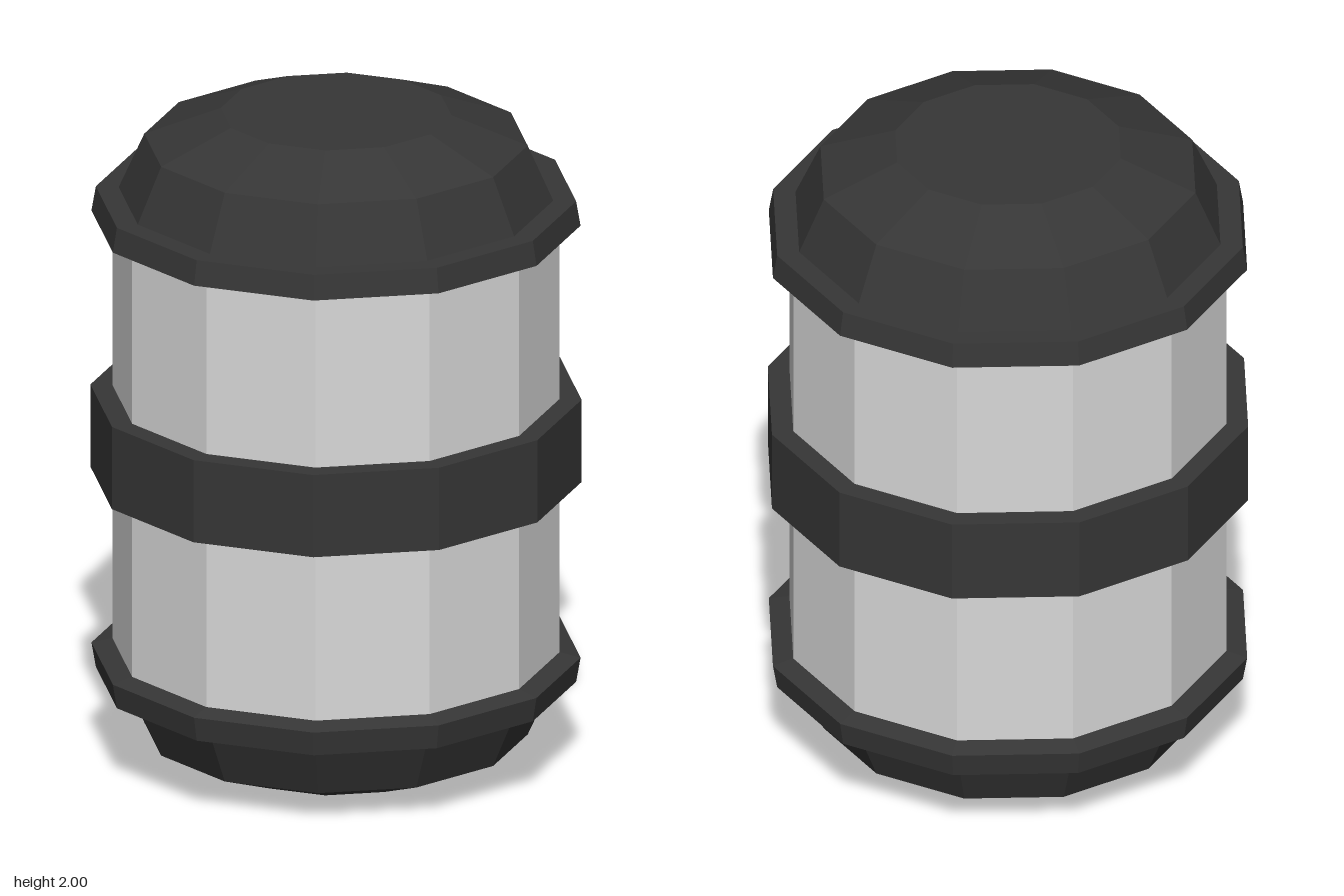
import * as THREE from 'three';

const SIDES = 12;

export function createModel() {
  const model = new THREE.Group();
  model.name = 'canister';

  const shell = new THREE.MeshStandardMaterial({ color: 0xd8d8d8, flatShading: true });
  shell.name = 'light grey shell';
  const rubber = new THREE.MeshStandardMaterial({ color: 0x363636, flatShading: true });
  rubber.name = 'dark grey trim';

  // Twelve-sided solid from a [radius, height] profile running upward
  const turned = (name, profile, material) => {
    const points = profile.map(([r, y]) => new THREE.Vector2(r, y));
    const mesh = new THREE.Mesh(new THREE.LatheGeometry(points, SIDES), material);
    mesh.name = name;
    model.add(mesh);
  };

  // Body drum, tucked into both caps
  turned('body', [[0.655, 0.33], [0.655, 1.67]], shell);

  // Raised belt around the middle
  turned('middleBand', [[0.65, 0.875], [0.72, 0.875], [0.72, 1.13], [0.65, 1.13]], rubber);

  // Faceted dome with a flared lip; the bottom cap mirrors the top
  const cap = [
    [0.64, 1.655], [0.66, 1.655], [0.717, 1.67], [0.704, 1.745],
    [0.637, 1.745], [0.562, 1.913], [0.338, 2], [0, 2],
  ];
  turned('topCap', cap, rubber);
  turned('bottomCap', cap.map(([r, y]) => [r, 2 - y]).reverse(), rubber);

  return model;
}
